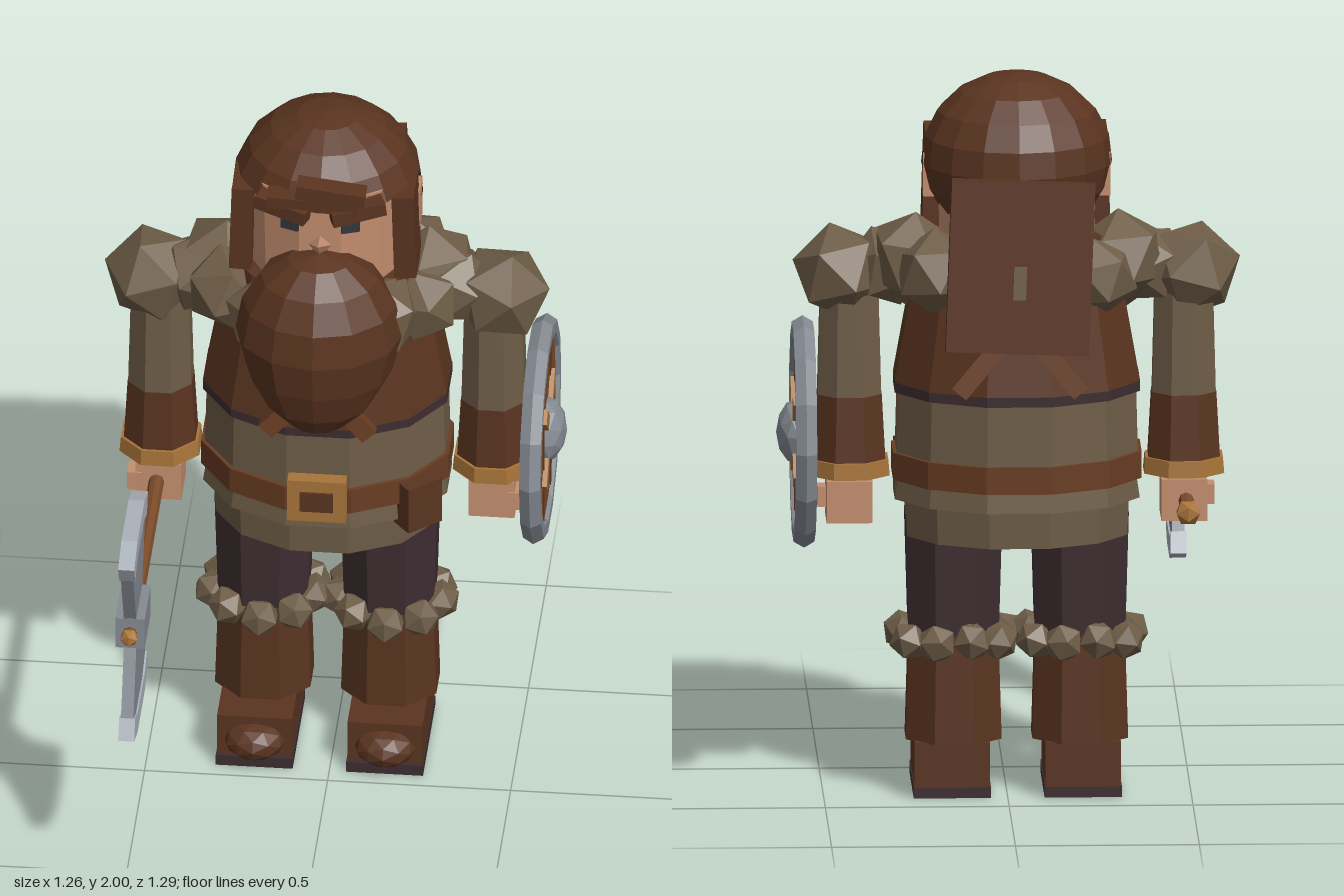
import * as THREE from 'three';

const mat = (name, color, side = THREE.FrontSide) => {
  const m = new THREE.MeshStandardMaterial({ color, side });
  m.name = name;
  return m;
};

export function createModel() {
  const brown = mat('dark brown leather and hair', 0x5a3420, THREE.DoubleSide);
  const belt = mat('belt brown', 0x683c22);
  const wood = mat('wood', 0x7c4c2a);
  const fur = mat('fur', 0x6e5d47);
  const dark = mat('dark cloth', 0x3d2d31);
  const skin = mat('skin', 0xc48f70);
  const gold = mat('brass', 0xa8743a);
  const steel = mat('steel', 0x868b93);
  const edge = mat('bright steel', 0xacb2ba);
  const eyeMat = mat('eye', 0x34363e);

  const model = new THREE.Group();
  const body = new THREE.Group();
  body.name = 'body';
  body.position.set(-0.027, 0, -0.28);
  model.add(body);

  // Adds a faceted mesh to a parent group
  const add = (parent, name, geo, material, pos = [0, 0, 0], rot = [0, 0, 0]) => {
    const g = geo.index ? geo.toNonIndexed() : geo;
    g.computeVertexNormals();
    const m = new THREE.Mesh(g, material);
    m.name = name;
    m.position.set(...pos);
    m.rotation.set(...rot);
    parent.add(m);
    return m;
  };
  const box = (w, h, d) => new THREE.BoxGeometry(w, h, d);
  const ball = (r) => new THREE.IcosahedronGeometry(r, 0);
  // Low-poly tapered drum between two heights, squashed in z
  const drum = (rt, rb, y0, y1, sides = 12, sz = 1) =>
    new THREE.CylinderGeometry(rt, rb, y1 - y0, sides).rotateY(Math.PI / sides)
      .scale(1, 1, sz).translate(0, (y0 + y1) / 2, 0);

  // Torso, tunic and belt
  add(body, 'jerkin', drum(0.27, 0.345, 1.15, 1.56, 12, 0.84), brown);
  add(body, 'jerkinTrim', drum(0.345, 0.345, 1.122, 1.155, 12, 0.83), dark);
  add(body, 'tunic', drum(0.335, 0.34, 0.94, 1.125, 12, 0.82), fur);
  add(body, 'belt', drum(0.35, 0.35, 0.88, 0.955, 12, 0.83), belt);
  add(body, 'upperSkirt', drum(0.335, 0.345, 0.825, 0.89, 12, 0.82), fur);
  add(body, 'lowerSkirt', drum(0.315, 0.31, 0.72, 0.83, 12, 0.8), fur);
  add(body, 'buckle', box(0.16, 0.13, 0.04), gold, [0, 0.935, 0.295]);
  add(body, 'buckleCentre', box(0.09, 0.06, 0.008), brown, [0, 0.935, 0.318]);
  add(body, 'pouch', box(0.11, 0.14, 0.07), brown, [0.265, 0.875, 0.19], [0, 0.7, 0]);
  for (const s of [-1, 1]) {
    add(body, 'frontStrap', box(0.05, 0.3, 0.03), belt, [s * 0.04, 1.25, 0.27], [-0.12, 0, s * 0.75]);
    add(body, 'backStrap', box(0.05, 0.36, 0.03), belt, [s * 0.05, 1.3, -0.27], [0.12, 0, s * 0.7]);
  }

  // Back pack
  const pack = new THREE.Group();
  pack.name = 'backPack';
  pack.position.set(0, 1.52, -0.31);
  pack.rotation.set(0.08, 0, 0.04);
  body.add(pack);
  add(pack, 'packPanel', box(0.39, 0.47, 0.06), brown);
  add(pack, 'packClasp', box(0.035, 0.09, 0.015), fur, [0, -0.04, -0.035]);

  // Fur collar
  for (let i = 0; i < 11; i++) {
    const a = (i + 0.5) / 11 * Math.PI * 2;
    add(body, 'collarFur', ball(0.11 + 0.012 * (i % 3)), fur,
      [Math.sin(a) * 0.29, 1.47 + 0.015 * ((i % 3) - 1), -Math.cos(a) * 0.205], [i * 1.3, i * 0.9, i * 0.5]);
  }

  // Legs and boots
  for (const s of [-1, 1]) {
    const leg = new THREE.Group();
    leg.name = s > 0 ? 'leftLeg' : 'rightLeg';
    leg.position.x = s * 0.172;
    body.add(leg);
    add(leg, 'trouser', drum(0.143, 0.133, 0.45, 0.78, 8), dark);
    add(leg, 'bootShaft', drum(0.132, 0.141, 0.152, 0.44, 8), brown);
    add(leg, 'foot', box(0.205, 0.125, 0.335), brown, [s * 0.006, 0.092, 0.053]);
    add(leg, 'toeCap', new THREE.IcosahedronGeometry(1, 1).scale(0.085, 0.055, 0.08),
      brown, [s * 0.006, 0.08, 0.21]);
    add(leg, 'sole', box(0.21, 0.032, 0.345), dark, [s * 0.006, 0.016, 0.06]);
    for (let i = 0; i < 9; i++) {
      const a = i / 9 * Math.PI * 2;
      add(leg, 'bootFur', ball(0.056), fur, [Math.sin(a) * 0.14, 0.435 + 0.006 * (i % 3 - 1), Math.cos(a) * 0.14],
        [i * 1.1, i * 0.7, i * 0.4]);
    }
  }

  // Arms
  for (const s of [-1, 1]) {
    const arm = new THREE.Group();
    arm.name = s > 0 ? 'leftArm' : 'rightArm';
    arm.position.x = s * 0.455;
    body.add(arm);
    add(arm, 'shoulderFur', ball(0.136), fur, [s * 0.022, 1.445, 0], [0.3, 0.5, s * 0.3]);
    add(arm, 'innerShoulderFur', ball(0.115), fur, [s * -0.1, 1.46, 0], [0.8, 0.2, s]);
    add(arm, 'sleeve', drum(0.085, 0.094, 1.09, 1.42, 8), fur);
    add(arm, 'bracer', drum(0.095, 0.106, 0.92, 1.11, 8), brown);
    add(arm, 'cuff', drum(0.114, 0.118, 0.885, 0.93, 8), gold);
    add(arm, 'hand', box(0.125, 0.115, 0.13), skin, [0, 0.812, 0.01]);
    add(arm, 'thumb', box(0.04, 0.055, 0.06), skin, [s * 0.065, 0.812, 0.05]);
  }

  // Head: face, ears, nose, eyes and brows
  const head = new THREE.Group();
  head.name = 'head';
  body.add(head);
  add(head, 'face', drum(0.226, 0.215, 1.5, 1.86, 12), skin);
  add(head, 'nose', new THREE.ConeGeometry(0.038, 0.09, 4).rotateX(1.1), skin, [0, 1.725, 0.24]);
  for (const s of [-1, 1]) {
    add(head, 'ear', box(0.04, 0.12, 0.07), skin, [s * 0.235, 1.72, -0.01]);
    add(head, 'sideburn', box(0.06, 0.26, 0.14), brown, [s * 0.222, 1.7, 0.075], [0, 0, s * 0.03]);
    add(head, 'eye', box(0.052, 0.052, 0.009), eyeMat, [s * 0.083, 1.782, 0.212], [0, s * 0.35, 0]);
    add(head, 'brow', box(0.15, 0.04, 0.06), brown, [s * 0.1, 1.825, 0.205], [0, s * 0.35, s * 0.12]);
  }
  add(head, 'fringe', box(0.19, 0.04, 0.06), brown, [0.03, 1.885, 0.215], [0, 0, -0.12]);
  add(head, 'fringeLower', box(0.25, 0.035, 0.06), brown, [-0.02, 1.85, 0.21], [0, 0, -0.05]);

  // Hair: a full crown over a lower back half
  const hairShape = (phi0, phiLen, th0, thLen, n, rows) =>
    new THREE.SphereGeometry(1, n, rows, phi0, phiLen, th0, thLen).scale(0.26, 0.235, 0.258);
  const seam = 1.31;
  add(head, 'hairCrown', hairShape(0, Math.PI * 2, 0, seam, 16, 4), brown, [0, 1.765, -0.015]);
  add(head, 'hairBack', hairShape(Math.PI, Math.PI, seam, 1.25, 8, 4), brown, [0, 1.765, -0.015]);

  // Beard: an egg narrowing and sweeping to its tip
  const beard = new THREE.SphereGeometry(1, 12, 8);
  const p = beard.attributes.position;
  for (let i = 0; i < p.count; i++) {
    const y = p.getY(i), t = Math.max(0, -y);
    p.setXYZ(i, p.getX(i) * 0.228 * (1 - 0.12 * t), y * (y > 0 ? 0.255 : 0.285),
      p.getZ(i) * 0.2 * (1 - 0.1 * t) + 0.05 * t * t);
  }
  add(head, 'beard', beard, brown, [0, 1.445, 0.237]);

  // Double-headed axe, built with its handle along z
  const axe = new THREE.Group();
  axe.name = 'axe';
  axe.position.set(-0.487, 0.813, 0);
  model.add(axe);
  add(axe, 'axeHandle', new THREE.CylinderGeometry(0.021, 0.021, 1.05, 8).rotateX(Math.PI / 2), wood, [0, 0, 0.025]);
  add(axe, 'pommel', ball(0.037), gold, [0, 0, -0.495]);
  add(axe, 'handleTip', ball(0.027), gold, [0, 0, 0.56]);
  add(axe, 'axeCollar', box(0.08, 0.095, 0.17), steel, [0, 0, 0.455]);
  const plate = (pts, depth) => new THREE.ExtrudeGeometry(
    new THREE.Shape(pts.map(([z, y]) => new THREE.Vector2(z, y))), { depth, bevelEnabled: false })
    .translate(0, 0, -depth / 2).rotateY(-Math.PI / 2);
  const blade = [[-0.08, 0.04], [0.08, 0.04], [0.165, 0.225], [0.09, 0.255], [-0.09, 0.255], [-0.165, 0.225]];
  const rim = [[-0.165, 0.225], [-0.09, 0.255], [0.09, 0.255], [0.165, 0.225],
    [0.195, 0.28], [0.1, 0.313], [-0.1, 0.313], [-0.195, 0.28]];
  for (const turn of [0, Math.PI]) {
    add(axe, 'axeBlade', plate(blade, 0.034), steel, [0, 0, 0.455], [turn, 0, 0]);
    add(axe, 'axeEdge', plate(rim, 0.044), edge, [0, 0, 0.455], [turn, 0, 0]);
  }

  // Round shield facing +x
  const shield = new THREE.Group();
  shield.name = 'shield';
  shield.position.set(0.553, 1, -0.283);
  shield.rotation.y = Math.PI / 2;
  model.add(shield);
  add(shield, 'shieldBoard', new THREE.CylinderGeometry(0.285, 0.285, 0.035, 14).rotateX(Math.PI / 2), wood);
  add(shield, 'shieldRim', new THREE.TorusGeometry(0.283, 0.033, 6, 14), steel);
  add(shield, 'shieldBoss', new THREE.IcosahedronGeometry(0.092, 1).scale(1, 1, 0.65), steel, [0, 0, 0.014]);
  for (const s of [-1, 1]) {
    add(shield, 'plankSeam', box(0.012, 0.5, 0.006), brown, [s * 0.093, 0, 0.018]);
    add(shield, 'shieldStrap', box(0.042, 0.33, 0.018), gold, [0, 0, 0.022], [0, 0, s * Math.PI / 4]);
  }
  return model;
}
